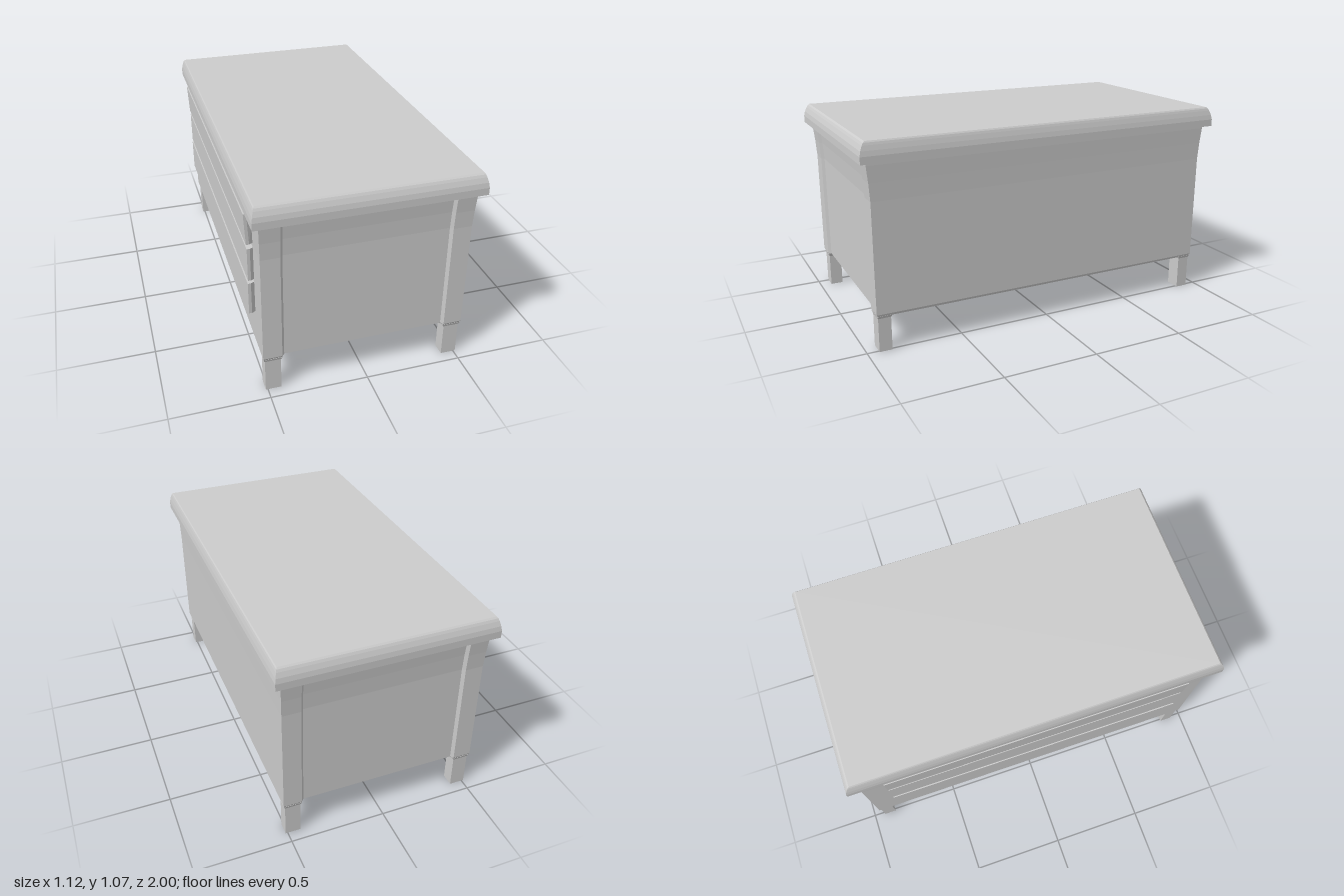
import * as THREE from 'three';

const grey = new THREE.MeshStandardMaterial({ color: 0xcccccc });
grey.name = 'plain grey';

// Closed, flat-shaded solid through stacked rings (each ring anticlockwise from above)
function loft(name, rings) {
  const pos = [];
  const n = rings[0].length;
  const tri = (a, b, c) => pos.push(...a, ...b, ...c);
  for (let k = 0; k < rings.length - 1; k++) {
    for (let i = 0; i < n; i++) {
      const j = (i + 1) % n;
      const [a, b, c, d] = [rings[k][i], rings[k][j], rings[k + 1][j], rings[k + 1][i]];
      tri(a, b, c);
      tri(a, c, d);
    }
  }
  const centre = (r) => [0, 1, 2].map((q) => r.reduce((s, p) => s + p[q], 0) / n);
  const bottom = rings[0];
  const top = rings[rings.length - 1];
  for (let i = 0; i < n; i++) {
    const j = (i + 1) % n;
    tri(centre(bottom), bottom[j], bottom[i]);
    tri(centre(top), top[i], top[j]);
  }
  const geometry = new THREE.BufferGeometry();
  geometry.setAttribute('position', new THREE.Float32BufferAttribute(pos, 3));
  geometry.computeVertexNormals();
  const mesh = new THREE.Mesh(geometry, grey);
  mesh.name = name;
  return mesh;
}

const rect = (y, x, z, cx = 0, cz = 0) => [
  [cx + x, y, cz + z], [cx + x, y, cz - z], [cx - x, y, cz - z], [cx - x, y, cz + z],
];

// Footprint with corner posts and a recessed panel in both short ends
function bodyRing(y, x, z, recess) {
  const outer = 0.425;
  const inner = 0.412;
  const p = z - recess;
  return [
    [x, y, z], [x, y, -z], [outer, y, -z], [inner, y, -p], [-inner, y, -p], [-outer, y, -z],
    [-x, y, -z], [-x, y, z], [-outer, y, z], [-inner, y, p], [inner, y, p], [outer, y, z],
  ];
}

// Drawer front with undercut ends, standing proud of the -x side
function drawer(name, y0, y1, outer0, outer1) {
  const ring = (y, o) => [
    [-0.51, y, 0.805], [-0.51, y, -0.805], [o + 0.015, y, -0.82],
    [o, y, -0.82], [o, y, 0.82], [o + 0.015, y, 0.82],
  ];
  return loft(name, [ring(y0, outer0), ring(y1, outer1)]);
}

export function createModel() {
  const model = new THREE.Group();
  model.name = 'desk';

  // Top with a rounded edge: height, x inset, z inset
  const edge = [[0.96, 0, 0], [0.997, 0, 0], [1.022, 0.004, 0.005],
    [1.046, 0.01, 0.015], [1.058, 0.014, 0.022], [1.065, 0.019, 0.03]];
  model.add(loft('deskTop', edge.map(([y, ix, iz]) => rect(y, 0.56 - ix, 1 - iz))));

  // Cabinet flaring out towards the top: height, half width, half length, recess
  const levels = [[0.188, 0.516, 0.942, 0.025], [0.2, 0.52, 0.948, 0.015],
    [0.77, 0.52, 0.95, 0.015], [0.86, 0.522, 0.956, 0.015],
    [0.945, 0.525, 0.965, 0.015], [0.957, 0.525, 0.966, 0.001], [0.965, 0.525, 0.966, 0.001]];
  model.add(loft('cabinet', levels.map((l) => bodyRing(...l))));

  // Three drawers, the upper one leaning out with the flare
  model.add(drawer('lowerDrawer', 0.39, 0.563, -0.553, -0.553));
  model.add(drawer('middleDrawer', 0.58, 0.756, -0.551, -0.551));
  model.add(drawer('upperDrawer', 0.78, 0.943, -0.553, -0.561));

  // Legs with small tapered collars
  for (const sx of [1, -1]) {
    for (const sz of [1, -1]) {
      const leg = new THREE.Group();
      leg.name = 'leg';
      const cx = sx * 0.471;
      const cz = sz * 0.907;
      leg.add(loft('legPost', [rect(0, 0.04, 0.033, cx, cz), rect(0.18, 0.04, 0.033, cx, cz)]));
      leg.add(loft('legCollar', [rect(0.177, 0.042, 0.034, cx, cz), rect(0.19, 0.047, 0.038, cx, cz)]));
      model.add(leg);
    }
  }
  return model;
}
